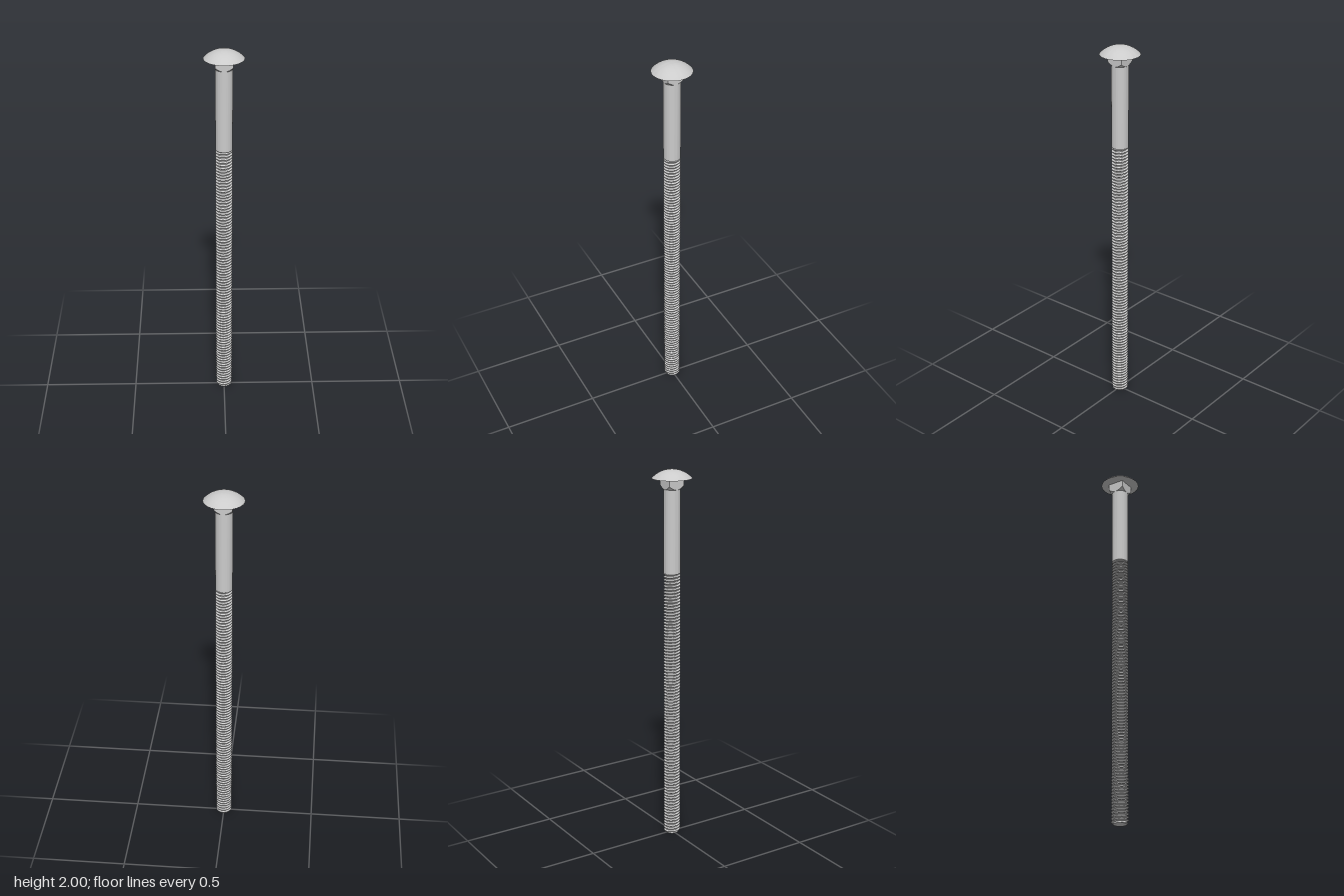
import * as THREE from 'three';
import { toCreasedNormals } from 'three/addons/utils/BufferGeometryUtils.js';
import { ParametricGeometry } from 'three/addons/geometries/ParametricGeometry.js';

const SHANK_R = 0.044, ROOT_R = 0.035;
const THREAD_TOP = 1.465, HEAD_Y = 1.955, HEAD_R = 0.103;
const PITCH = 0.0165;

export function createModel() {
  const model = new THREE.Group();
  const material = new THREE.MeshStandardMaterial({ color: 0xcccccc });
  const add = (name, geometry, crease = 0.5) => {
    const mesh = new THREE.Mesh(toCreasedNormals(geometry, crease), material);
    mesh.name = name;
    model.add(mesh);
    return mesh;
  };
  const polar = (target, r, y, a) => target.set(r * Math.cos(a), y, -r * Math.sin(a));

  // Domed head: a spherical cap with a flat underside
  const h = 2 - HEAD_Y;
  const R = (HEAD_R ** 2 + h ** 2) / (2 * h);
  const half = Math.asin(HEAD_R / R);
  const profile = [new THREE.Vector2(0, HEAD_Y), new THREE.Vector2(HEAD_R, HEAD_Y)];
  for (let i = 1; i <= 14; i++) {
    const a = half * (1 - i / 14);
    profile.push(new THREE.Vector2(R * Math.sin(a), 2 - R + R * Math.cos(a)));
  }
  add('head', new THREE.LatheGeometry(profile, 64));

  // Square neck whose lower corners are cut by a cone
  add('squareNeck', new ParametricGeometry((u, v, target) => {
    const a = u * Math.PI * 2;
    const square = 0.0442 / Math.max(Math.abs(Math.cos(a)), Math.abs(Math.sin(a)));
    const cutY = 1.9 + (square - 0.0442) * 1.1;
    if (v < 0.25) polar(target, SHANK_R - 0.001, 1.899, a);
    else polar(target, square, v < 0.75 ? cutY : HEAD_Y, a);
  }, 64, 2));

  // Plain shank
  const shank = add('shank', new THREE.CylinderGeometry(SHANK_R, SHANK_R, HEAD_Y - THREAD_TOP, 48));
  shank.position.y = (HEAD_Y + THREAD_TOP) / 2;

  // Helical thread: rows follow the root and crest edges round the rod
  const edges = [0, 0.3, 0.45, 0.75]; // root end, crest start, crest end, root start
  const threadRadius = (t) => {
    const f = t - Math.floor(t);
    const rise = THREE.MathUtils.clamp(Math.min(f / 0.3, (0.75 - f) / 0.3), 0, 1);
    return ROOT_R + (SHANK_R - ROOT_R) * rise;
  };
  const rows = (Math.ceil(THREAD_TOP / PITCH) + 1) * 4;
  add('thread', new ParametricGeometry((u, v, target) => {
    const i = Math.round(v * rows);
    const t = Math.floor(i / 4) - 1 + edges[i % 4] + u;
    const y = THREE.MathUtils.clamp(t * PITCH, 0, THREAD_TOP);
    const r = Math.min(threadRadius(y / PITCH - u + 1e-6), ROOT_R + y); // chamfered tip
    polar(target, r, y, u * Math.PI * 2);
  }, 48, rows));

  // Flat end of the rod
  add('tip', new THREE.CircleGeometry(ROOT_R, 48).rotateX(Math.PI / 2));

  return model;
}
